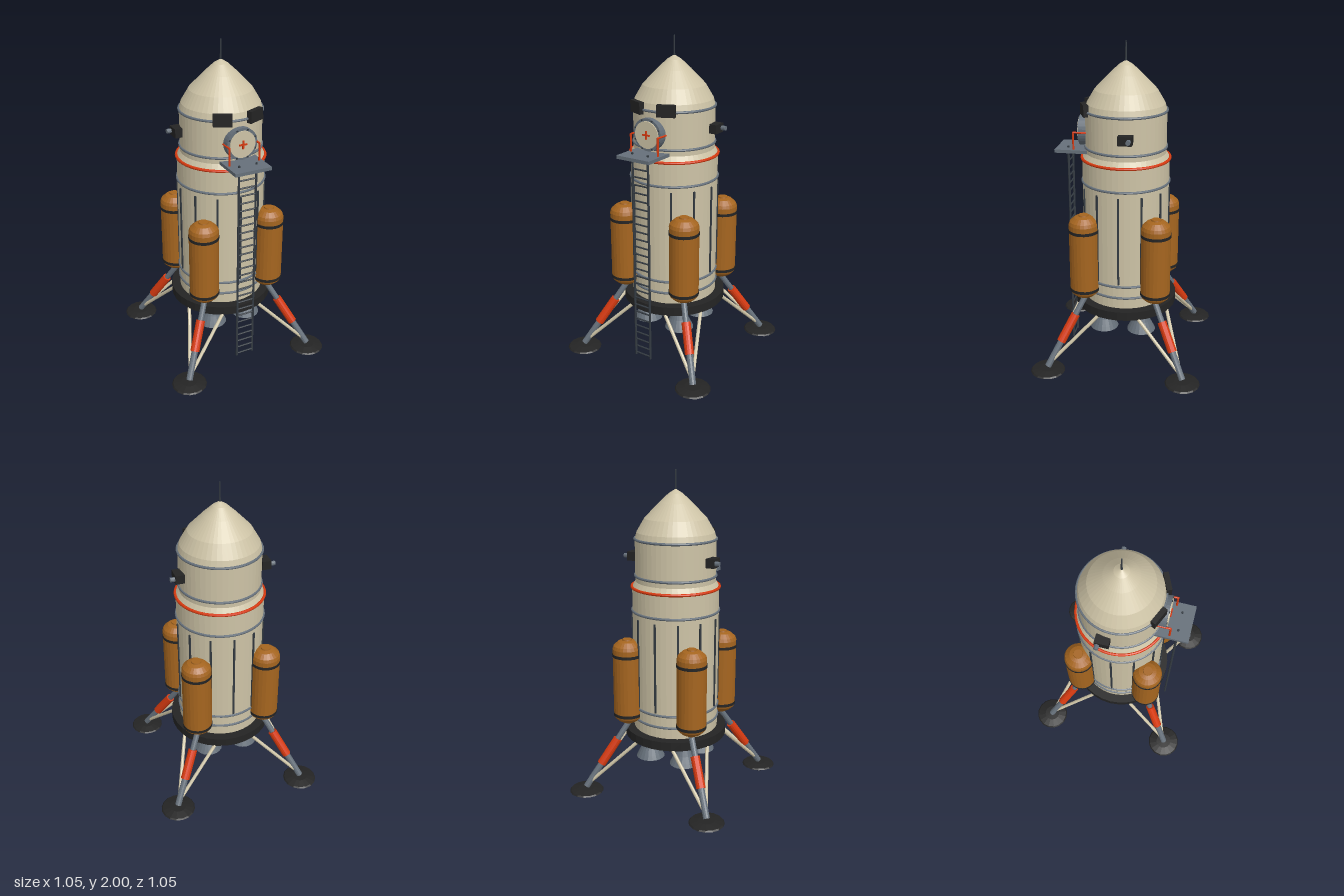
import * as THREE from 'three';

const material = (name, color, flatShading = true) => {
  const m = new THREE.MeshStandardMaterial({ color, flatShading });
  m.name = name;
  return m;
};

export function createModel() {
  const cream = material('hull cream', 0xcdc3a6);
  const orange = material('tank orange', 0xa5651f);
  const red = material('signal red', 0xd63a10);
  const grey = material('steel grey', 0x66707a);
  const dark = material('charcoal', 0x242424);
  const slate = material('slate', 0x343b42);
  cream.side = grey.side = THREE.DoubleSide;

  const root = new THREE.Group();
  root.name = 'lander';
  const V = (x, y, z) => new THREE.Vector3(x, y, z);

  function add(name, geo, mat, pos = [0, 0, 0], parent = root) {
    const mesh = new THREE.Mesh(geo, mat);
    mesh.name = name;
    mesh.position.set(...pos);
    parent.add(mesh);
    return mesh;
  }
  const box = (name, size, mat, pos, parent) => add(name, new THREE.BoxGeometry(...size), mat, pos, parent);
  const lathe = (name, pts, seg, mat, pos, parent) =>
    add(name, new THREE.LatheGeometry(pts.map(p => new THREE.Vector2(...p)), seg), mat, pos, parent);
  const ring = (name, r, tube, y, mat) => {
    const m = add(name, new THREE.TorusGeometry(r, tube, 8, 48), mat, [0, y, 0]);
    m.rotation.x = Math.PI / 2;
    return m;
  };
  // Rod between two points
  function rod(name, a, b, r, mat, parent, seg = 10) {
    const d = b.clone().sub(a);
    const m = add(name, new THREE.CylinderGeometry(r, r, d.length(), seg), mat,
      a.clone().add(b).multiplyScalar(0.5).toArray(), parent);
    m.quaternion.setFromUnitVectors(V(0, 1, 0), d.normalize());
    return m;
  }

  // Hull, nose and base
  lathe('hull', [[0, 0.4], [0.265, 0.4], [0.265, 1.31], [0.245, 1.345], [0.245, 1.6]], 48, cream);
  lathe('nose', [[0.245, 1.6], [0.234, 1.64], [0.187, 1.72], [0.1, 1.81], [0.042, 1.864], [0, 1.89]], 48, cream);
  add('baseDisc', new THREE.CylinderGeometry(0.32, 0.32, 0.055, 32), dark, [0, 0.3825, 0]);
  add('antenna', new THREE.CylinderGeometry(0.004, 0.006, 0.13, 8), slate, [0, 1.935, 0]);
  [[1.6, 0.246], [1.38, 0.246], [1.165, 0.266], [0.555, 0.266], [0.48, 0.266]]
    .forEach(([y, r]) => ring('hullRing', r, 0.008, y, grey));
  ring('redRing', 0.267, 0.009, 1.31, red);

  // Vertical seams round the hull
  for (let i = 0; i < 12; i++) {
    const a = i * Math.PI / 6;
    const seam = box('seam', [0.011, 0.56, 0.012], slate, [Math.sin(a) * 0.266, 0.85, Math.cos(a) * 0.266]);
    seam.rotation.y = a;
  }

  // Tank, leg and engine in each corner
  for (const sx of [-1, 1]) for (const sz of [-1, 1]) {
    const P = (x, y, z) => V(x * sx, y, z * sz);
    const tank = new THREE.Group();
    tank.name = 'tank';
    tank.position.set(0.22 * sx, 0, 0.22 * sz);
    root.add(tank);
    lathe('tankShell', [[0, 0.452], [0.03, 0.452], [0.062, 0.47], [0.085, 0.492], [0.09, 0.505],
      [0.09, 0.94], [0.083, 0.96], [0.055, 0.985], [0.03, 0.992], [0.028, 1.0], [0, 1.0]], 24, orange, undefined, tank);
    for (const y of [0.515, 0.9])
      add('tankBand', new THREE.CylinderGeometry(0.0925, 0.0925, 0.018, 24), dark, [0, y, 0], tank);

    const leg = new THREE.Group();
    leg.name = 'leg';
    root.add(leg);
    const top = P(0.205, 0.48, 0.205), foot = P(0.42, 0.045, 0.42);
    const at = t => top.clone().lerp(foot, t);
    rod('upperStrut', top, at(0.5), 0.018, grey, leg, 12);
    rod('shockSleeve', at(0.31), at(0.67), 0.028, red, leg, 14);
    rod('lowerStrut', at(0.6), foot, 0.02, grey, leg, 12);
    rod('braceA', P(0.41, 0.065, 0.41), P(0.28, 0.36, 0.12), 0.011, cream, leg);
    rod('braceB', P(0.41, 0.065, 0.41), P(0.12, 0.36, 0.28), 0.011, cream, leg);
    lathe('footPad', [[0, 0], [0.07, 0], [0.107, 0.02], [0.1, 0.028], [0.05, 0.038], [0, 0.04]], 16, dark,
      [0.42 * sx, 0, 0.42 * sz], leg);

    lathe('engineBell', [[0.09, 0.2], [0.078, 0.225], [0.058, 0.265], [0.042, 0.305], [0.034, 0.33], [0.034, 0.36]],
      20, grey, [0.12 * sx, 0, 0.12 * sz]);
  }

  // Ladder
  const ladder = new THREE.Group();
  ladder.name = 'ladder';
  root.add(ladder);
  for (const x of [-0.055, 0.055]) rod('ladderRail', V(x, 0.05, 0.344), V(x, 1.372, 0.344), 0.007, slate, ladder, 8);
  for (let i = 0; i < 27; i++) {
    const y = 0.065 + i * 0.0485;
    rod('rung', V(-0.055, y, 0.344), V(0.055, y, 0.344), 0.005, slate, ladder, 6);
  }

  // Platform with handrails
  box('platform', [0.228, 0.02, 0.2], grey, [0, 1.353, 0.316]);
  for (const x of [-0.095, 0.095]) {
    rod('handrailPost', V(x, 1.36, 0.303), V(x, 1.47, 0.303), 0.006, red, root, 8);
    rod('handrailTop', V(x, 1.467, 0.305), V(x, 1.467, 0.22), 0.006, red, root, 8);
  }

  // Hatch
  const hatch = new THREE.Group();
  hatch.name = 'hatch';
  hatch.position.set(0, 1.468, 0.235);
  root.add(hatch);
  const disc = (name, r, depth, mat, z) => {
    add(name, new THREE.CylinderGeometry(r, r, depth, 32), mat, [0, 0, z], hatch).rotation.x = Math.PI / 2;
  };
  disc('hatchFrame', 0.096, 0.06, grey, 0.01);
  disc('hatchDoor', 0.08, 0.014, cream, 0.04);
  box('crossBar', [0.05, 0.009, 0.009], red, [0, 0, 0.05], hatch);
  box('crossPost', [0.009, 0.05, 0.009], red, [0, 0, 0.05], hatch);
  for (let i = 0; i < 8; i++) {
    const a = (i + 0.5) * Math.PI / 4;
    box('bolt', [0.009, 0.009, 0.006], slate, [Math.cos(a) * 0.088, Math.sin(a) * 0.088, 0.042], hatch);
  }

  // Front windows and side thrusters
  for (const s of [-1, 1]) {
    box('window', [0.108, 0.07, 0.03], dark, [0.102 * s, 1.61, 0.23]).rotation.y = 0.42 * s;
    box('thrusterBlock', [0.055, 0.054, 0.083], dark, [0.263 * s, 1.481, -0.042]);
    rod('thrusterNozzle', V(0.285 * s, 1.481, -0.066), V(0.318 * s, 1.481, -0.066), 0.014, grey);
  }
  return root;
}
